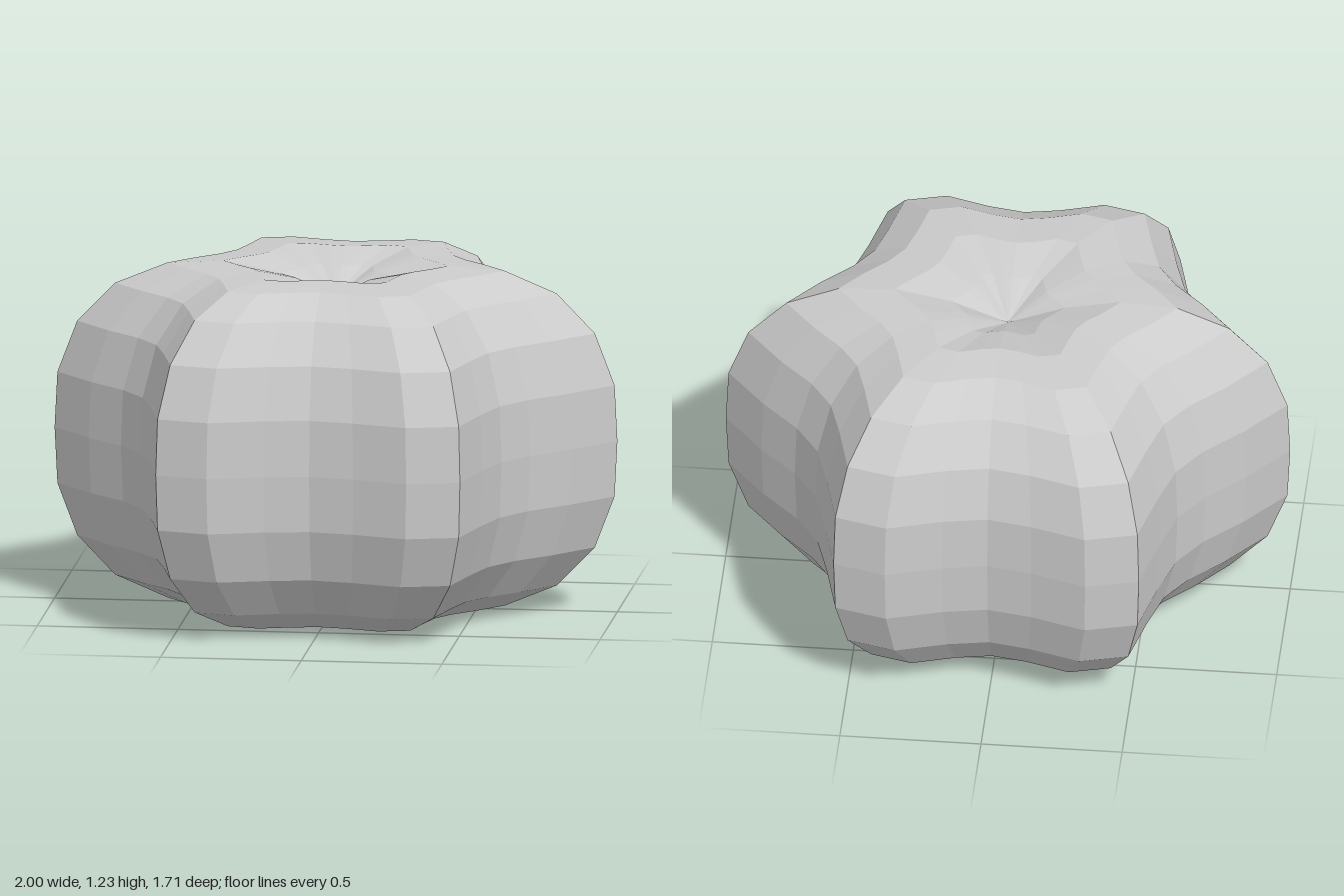
import * as THREE from 'three';

const SIDES = 32;
// Ring size and height from the middle, running from equator to sunken pole
const ringScale = [1, 0.99, 0.92, 0.785, 0.6, 0.4, 0.2, 0];
const ringHeight = [0, 0.2, 0.385, 0.525, 0.602, 0.615, 0.575, 0.496];
// Six-lobed outline: radius at each step of a quarter turn, from side to front
const outline = [1, 0.875, 0.787, 0.771, 0.838, 0.973, 0.928, 0.814, 0.77];

export function createModel() {
  const group = new THREE.Group();
  group.name = 'pumpkin';

  // Sphere whose rings are reshaped into lobes with a dimple at both poles
  const half = ringScale.length - 1;
  const geometry = new THREE.SphereGeometry(1, SIDES, half * 2);
  const position = geometry.attributes.position;
  for (let i = 0; i < position.count; i++) {
    const step = i % (SIDES + 1);
    const row = half - Math.floor(i / (SIDES + 1));
    const level = Math.abs(row);
    const k = step % (SIDES / 2);
    const radius = outline[Math.min(k, SIDES / 2 - k)] * ringScale[level];
    const angle = (step / SIDES) * Math.PI * 2;
    position.setXYZ(
      i,
      -Math.cos(angle) * radius,
      0.615 + Math.sign(row) * ringHeight[level],
      Math.sin(angle) * radius
    );
  }
  geometry.computeVertexNormals();

  const body = new THREE.Mesh(
    geometry,
    new THREE.MeshStandardMaterial({ color: 0xcccccc, flatShading: true })
  );
  body.name = 'lobedBody';
  group.add(body);
  return group;
}
